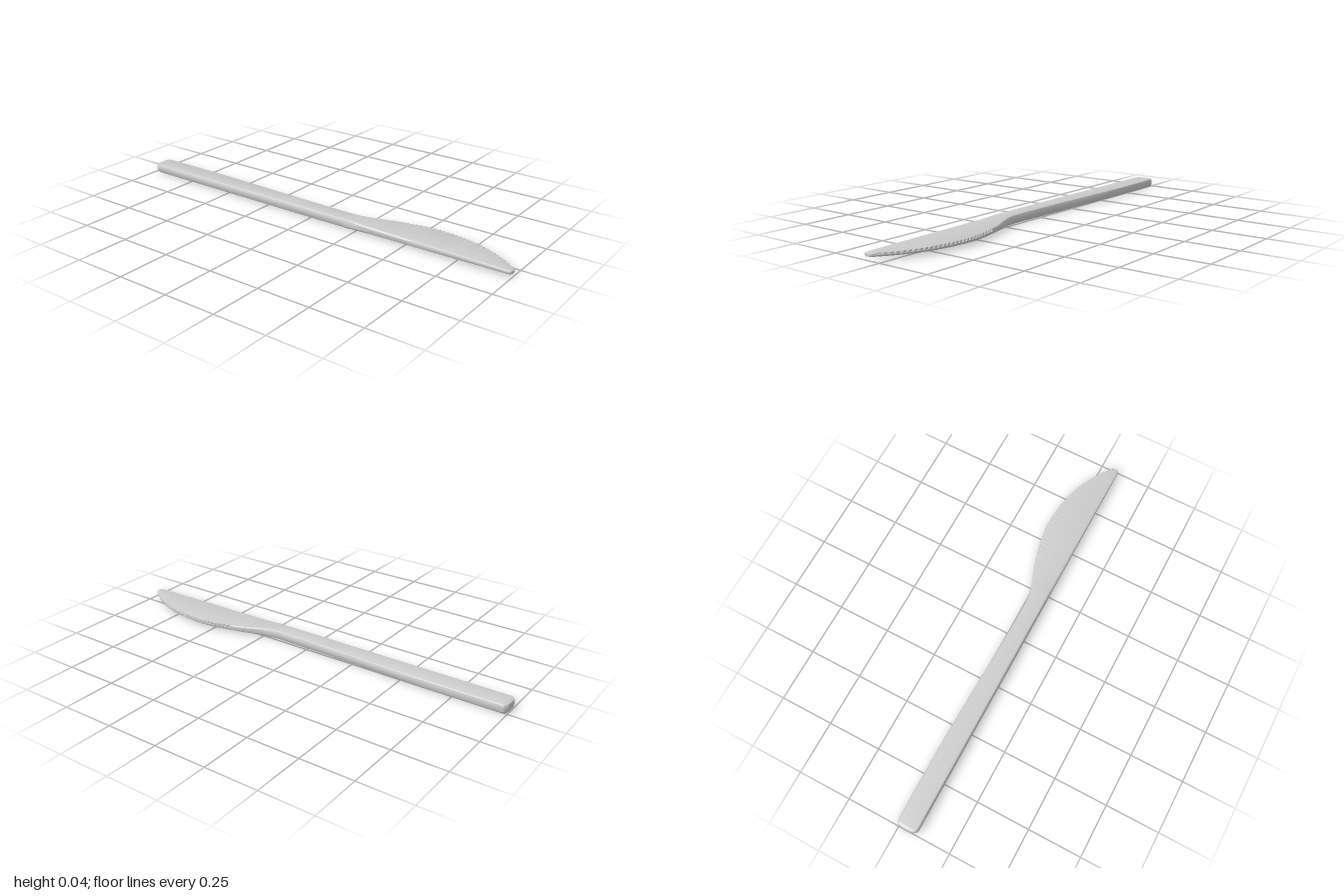
import * as THREE from 'three';
import { toCreasedNormals } from 'three/addons/utils/BufferGeometryUtils.js';

const MID_Y = 0.021;   // height of the knife's middle plane
const FRONT_Z = 0.0885; // straight spine

// Smooth curve through [x, value] points
function profile(points) {
  const slope = (i) => {
    const a = points[Math.max(i - 1, 0)], b = points[Math.min(i + 1, points.length - 1)];
    return (b[1] - a[1]) / (b[0] - a[0]);
  };
  return (x) => {
    let i = 0;
    while (i < points.length - 2 && x > points[i + 1][0]) i++;
    const [x0, v0] = points[i], [x1, v1] = points[i + 1], w = x1 - x0;
    const t = THREE.MathUtils.clamp((x - x0) / w, 0, 1), t2 = t * t, t3 = t2 * t;
    return (2 * t3 - 3 * t2 + 1) * v0 + (t3 - 2 * t2 + t) * w * slope(i)
      + (3 * t2 - 2 * t3) * v1 + (t3 - t2) * w * slope(i + 1);
  };
}

// Cutting side outline and half thickness at the spine and at the cutting side
const edgeZ = profile([[-1, -0.011], [-0.6, -0.011], [-0.3, -0.003], [0, 0.005], [0.12, 0.006],
  [0.19, 0.004], [0.26, -0.011], [0.35, -0.044], [0.42, -0.063], [0.5, -0.081], [0.58, -0.0885],
  [0.7, -0.08], [0.8, -0.057], [0.9, -0.013], [1, 0.052]]);
const spineHalf = profile([[-1, 0.021], [-0.5, 0.021], [0.18, 0.021], [0.34, 0.0165], [0.7, 0.0125], [1, 0.008]]);
const edgeHalf = profile([[-1, 0.021], [-0.5, 0.021], [0.18, 0.021], [0.34, 0.0145], [0.58, 0.0105], [1, 0.007]]);

// Closed cross-section, counter-clockwise as seen from the tip
function section({ x, inset = 0, flat = 0, notch = 0, toothed = false }) {
  const back = -edgeZ(x) - inset, front = -FRONT_Z + inset;
  const hb = edgeHalf(x) - flat, hf = spineHalf(x) - flat;
  const rb = Math.min(0.01, hb * 0.5), rf = Math.min(0.01, hf * 0.6), rt = toothed ? 0.002 : rb;
  const ring = [];
  const corner = (u, y, r, start) => {
    for (let k = 0; k <= 4; k++) {
      const a = (start + k / 4) * Math.PI / 2;
      ring.push([x, y + r * Math.sin(a), -(u + r * Math.cos(a))]);
    }
  };
  corner(back - rb, MID_Y - hb + rb, rb, -1);
  ring.push([x, MID_Y, -back], [x, MID_Y, -(back - notch)]);
  corner(back - notch - rt, MID_Y + hb - rt, rt, 0);
  corner(front + rf, MID_Y + hf - rf, rf, 1);
  corner(front + rf, MID_Y - hf + rf, rf, 2);
  return ring;
}

// Skin over consecutive sections, with both ends capped
function loft(rings) {
  const n = rings[0].length, pos = rings.flat(2), index = [];
  rings.forEach((ring, i) => {
    if (i === rings.length - 1) return;
    for (let j = 0; j < n; j++) {
      const a = i * n + j, d = i * n + (j + 1) % n, b = a + n, c = d + n;
      index.push(a, d, b, b, d, c);
    }
  });
  [0, rings.length - 1].forEach((i) => {
    const centre = pos.length / 3;
    const ring = rings[i];
    pos.push(ring[0][0], MID_Y, ring.reduce((s, p) => s + p[2], 0) / n);
    for (let j = 0; j < n; j++) {
      const a = i * n + j, b = i * n + (j + 1) % n;
      if (i === 0) index.push(centre, b, a);
      else index.push(centre, a, b);
    }
  });
  const geometry = new THREE.BufferGeometry();
  geometry.setAttribute('position', new THREE.Float32BufferAttribute(pos, 3));
  geometry.setIndex(index);
  return toCreasedNormals(geometry, 0.6);
}

export function createModel() {
  const stations = [];

  // Rounded handle end
  for (let k = 0; k <= 6; k++) {
    const a = k / 6 * Math.PI / 2, R = 0.028;
    stations.push({ x: -1 + R * (1 - Math.cos(a)), inset: R * (1 - Math.sin(a)), flat: 0.007 * (1 - Math.sin(a)) ** 2 });
  }
  // Handle and neck
  for (let x = -0.9; x < 0.13; x += 0.1) stations.push({ x });
  for (let x = 0.13; x < 0.405; x += 0.015) stations.push({ x });

  // Serrated blade: notches cut into the upper half of the cutting side
  const teeth = 27, first = 0.405, pitch = (0.972 - first) / teeth;
  for (let i = 0; i < teeth; i++) {
    const x = first + i * pitch;
    stations.push({ x, toothed: true }, { x: x + pitch * 0.3, toothed: true },
      { x: x + pitch * 0.4, notch: 0.008, toothed: true }, { x: x + pitch * 0.7, notch: 0.006, toothed: true });
  }

  // Rounded tip
  for (let k = 0; k <= 6; k++) {
    const a = k / 6 * Math.PI / 2, R = 0.014;
    stations.push({ x: 1 - R + R * Math.sin(a), inset: R * (1 - Math.cos(a)), flat: 0.002 * (1 - Math.cos(a)) });
  }

  const knife = new THREE.Mesh(loft(stations.map(section)), new THREE.MeshStandardMaterial({ color: 0xcccccc }));
  knife.name = 'handleAndBlade';
  const group = new THREE.Group();
  group.name = 'tableKnife';
  group.add(knife);
  return group;
}
